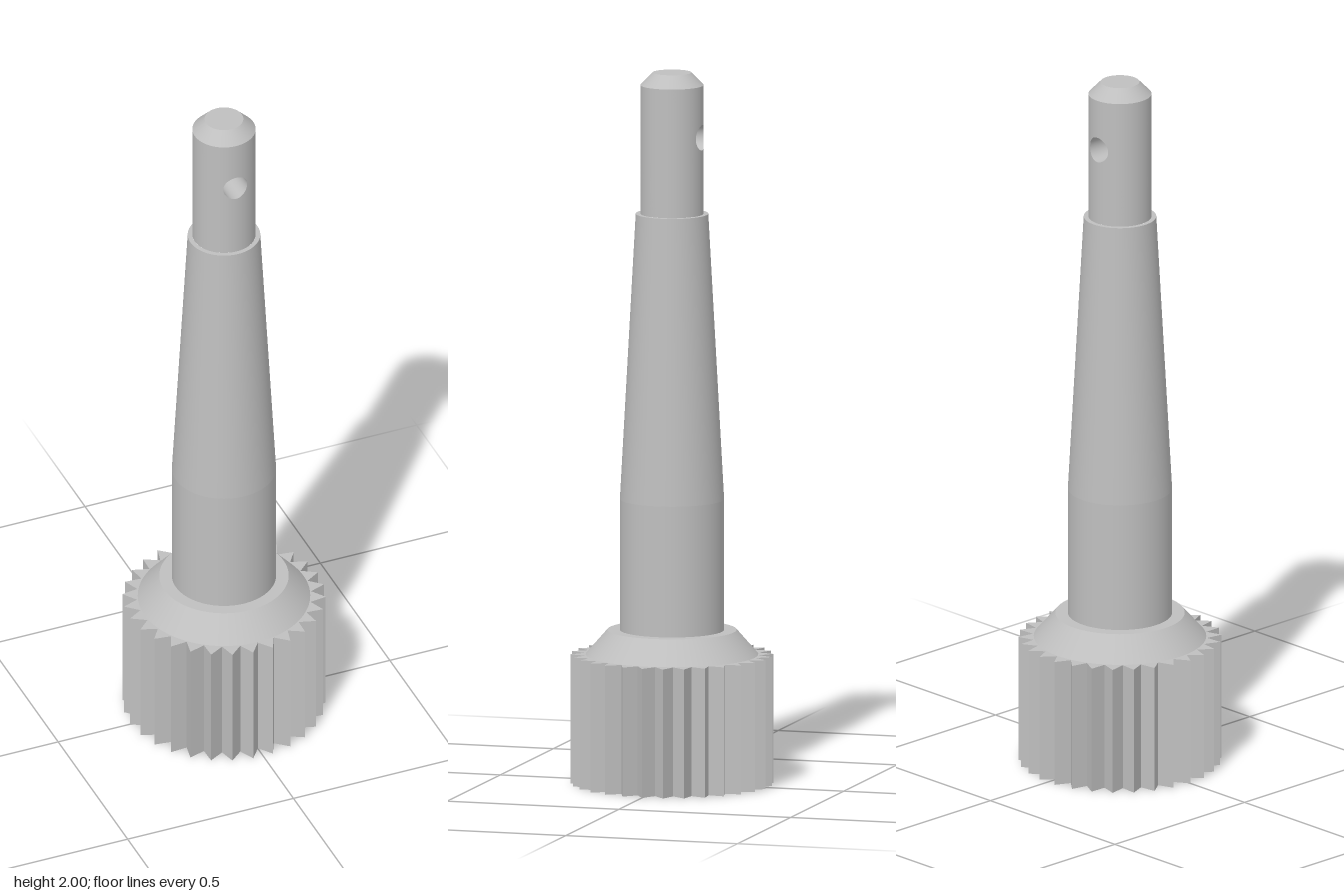
import * as THREE from 'three';
import { ParametricGeometry } from 'three/addons/geometries/ParametricGeometry.js';

const steel = new THREE.MeshStandardMaterial({ color: 0xbfbfbf });
steel.name = 'steel grey';

const TEETH = 30, TIP_R = 0.283, ROOT_R = 0.243, GEAR_H = 0.363;
const PIN_R = 0.088, PIN_Y0 = 1.603, PIN_Y1 = 1.965;
const HOLE_R = 0.036, HOLE_Y = 1.82;

export function createModel() {
  const model = new THREE.Group();
  model.name = 'splinedShaft';

  const add = (name, geometry) => {
    const mesh = new THREE.Mesh(geometry, steel);
    mesh.name = name;
    model.add(mesh);
    return mesh;
  };
  // One turned surface between two profile points, with crisp ends
  const turned = (name, r0, y0, r1, y1) =>
    add(name, new THREE.LatheGeometry([new THREE.Vector2(r0, y0), new THREE.Vector2(r1, y1)], 96));

  // Splined base with sharp triangular teeth
  const outline = [];
  for (let i = 0; i < TEETH * 2; i++) {
    const a = (i * Math.PI) / TEETH;
    const r = i % 2 ? ROOT_R : TIP_R;
    outline.push(new THREE.Vector2(r * Math.cos(a), r * Math.sin(a)));
  }
  const spline = new THREE.ExtrudeGeometry(new THREE.Shape(outline), { depth: GEAR_H, bevelEnabled: false });
  add('splinedBase', spline.rotateX(-Math.PI / 2));

  // Collar, straight shaft, taper and shoulder
  turned('collarCone', 0.24, GEAR_H, 0.18, 0.432);
  turned('collarTop', 0.18, 0.432, 0.145, 0.432);
  turned('straightShaft', 0.145, 0.432, 0.145, 0.8);
  turned('taperedShaft', 0.145, 0.8, 0.101, PIN_Y0);
  turned('shoulder', 0.101, PIN_Y0, PIN_R, PIN_Y0);

  // Pin wall: each half runs from the hole's rim out to the half's rectangular border
  const wall = new ParametricGeometry((u, v, p) => {
    const t = -2 * Math.PI * u, c = Math.cos(t), s = Math.sin(t);
    const k = 1 / Math.max(Math.abs(c), Math.abs(s));
    const edgeY = s * k * (s > 0 ? PIN_Y1 - HOLE_Y : HOLE_Y - PIN_Y0);
    const theta = THREE.MathUtils.lerp(Math.asin((HOLE_R * c) / PIN_R), (c * k * Math.PI) / 2, v);
    const y = HOLE_Y + THREE.MathUtils.lerp(HOLE_R * s, edgeY, v);
    p.set(PIN_R * Math.sin(theta), y, PIN_R * Math.cos(theta));
  }, 128, 12);
  add('pinWallFront', wall);
  add('pinWallBack', wall).rotation.y = Math.PI;

  // Bore of the cross hole, facing its own axis
  add('crossHole', new ParametricGeometry((u, v, p) => {
    const t = 2 * Math.PI * u, x = HOLE_R * Math.cos(t);
    p.set(x, HOLE_Y + HOLE_R * Math.sin(t), Math.sqrt(PIN_R * PIN_R - x * x) * (1 - 2 * v));
  }, 128, 2));

  // Chamfered tip
  turned('tipChamfer', PIN_R, PIN_Y1, 0.054, 2);
  turned('tipCap', 0.054, 2, 0, 2);

  return model;
}
